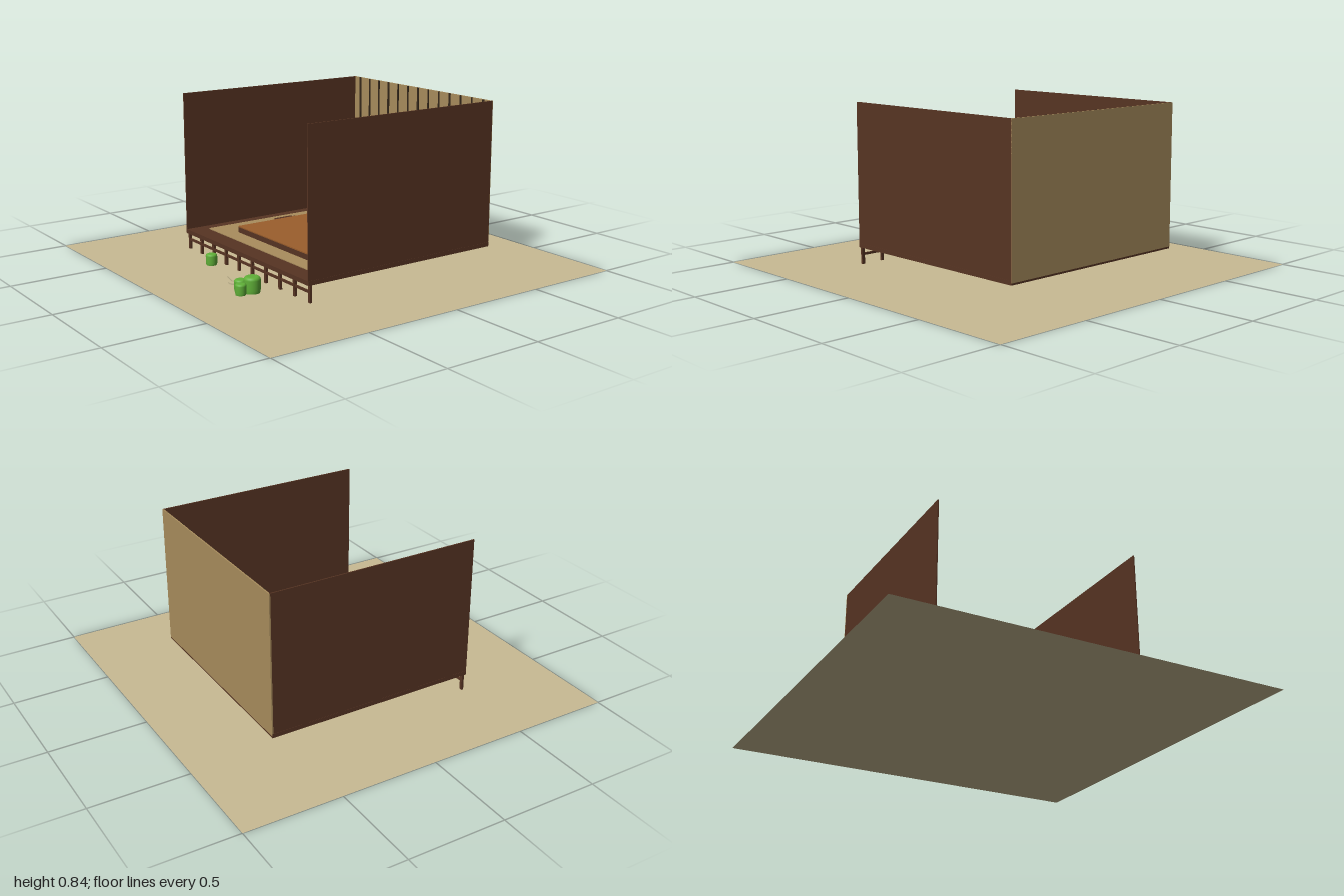
import * as THREE from 'three';

const mat = (name, color, side = THREE.FrontSide) => {
  const m = new THREE.MeshStandardMaterial({ color, side });
  m.name = name;
  return m;
};

export function createModel() {
  const sand = mat('sand', 0xc9bb94, THREE.DoubleSide);
  const tan = mat('tan straw', 0xa98d5d);
  const brown = mat('dark brown wood', 0x573423);
  const slatMat = mat('blackened wood', 0x35281b);
  const orange = mat('orange wood', 0x9b5e2c);
  const red = mat('red lacquer', 0xc4200f);
  const green = mat('leaf green', 0x60b038);

  const model = new THREE.Group();
  model.name = 'shrineRoom';
  const group = (name) => {
    const g = new THREE.Group();
    g.name = name;
    model.add(g);
    return g;
  };
  const add = (parent, name, geometry, material) => {
    const m = new THREE.Mesh(geometry, material);
    m.name = name;
    parent.add(m);
    return m;
  };
  // Box given by its minimum and maximum on each axis
  const box = (parent, name, material, x0, x1, y0, y1, z0, z1) => {
    const m = add(parent, name, new THREE.BoxGeometry(x1 - x0, y1 - y0, z1 - z0), material);
    m.position.set((x0 + x1) / 2, (y0 + y1) / 2, (z0 + z1) / 2);
    return m;
  };
  // Flat shape (x, -z) extruded upwards
  const slab = (parent, name, material, shape, y, height) => {
    const g = new THREE.ExtrudeGeometry(shape, { depth: height, bevelEnabled: false });
    g.rotateX(-Math.PI / 2);
    const m = add(parent, name, g, material);
    m.position.y = y;
    return m;
  };
  const roundedRect = (x0, x1, z0, z1, r) => {
    const s = new THREE.Shape();
    s.absarc(x1 - r, -z0 - r, r, 0, Math.PI / 2);
    s.absarc(x0 + r, -z0 - r, r, Math.PI / 2, Math.PI);
    s.absarc(x0 + r, -z1 + r, r, Math.PI, Math.PI * 1.5);
    s.absarc(x1 - r, -z1 + r, r, Math.PI * 1.5, Math.PI * 2);
    return s;
  };

  // Ground sheet
  add(model, 'ground', new THREE.PlaneGeometry(2, 2).rotateX(-Math.PI / 2), sand);

  // Floor deck with inset mat
  const floor = group('floor');
  box(floor, 'deck', brown, -0.56, 0.56, 0.09, 0.112, -0.61, 0.505);
  slab(floor, 'floorMat', tan, roundedRect(-0.49, 0.49, -0.455, 0.41, 0.006), 0.112, 0.004);

  // Raised alcove along the back
  box(floor, 'alcoveStep', brown, -0.55, 0.55, 0.112, 0.147, -0.6, -0.45);
  slab(floor, 'alcoveMat', tan, roundedRect(-0.51, 0.51, -0.598, -0.453, 0.015), 0.147, 0.003);

  // Porch posts and rail under the front edge
  const porch = group('porch');
  for (let i = 0; i < 10; i++) {
    const x = -0.55 + i * 0.1222;
    box(porch, 'porchPost', brown, x - 0.008, x + 0.008, 0.005, 0.09, 0.483, 0.495);
  }
  box(porch, 'porchRail', brown, -0.555, 0.555, 0.05, 0.062, 0.485, 0.493);

  // Walls
  const walls = group('walls');
  for (const s of [-1, 1]) {
    const w = box(walls, 'sideWall', brown, -0.003, 0.003, 0.1, 0.835, -0.61, 0.505);
    w.position.x = s * 0.556;
  }
  box(walls, 'backWall', tan, -0.559, 0.559, 0.1, 0.835, -0.612, -0.605);

  // Slats and crossbars of the back screen
  for (let i = 0; i < 13; i++) {
    const x = -0.5 + i / 12;
    const h = i % 3 === 0 ? 0.006 : 0.004;
    box(walls, 'screenSlat', slatMat, x - h, x + h, 0.147, 0.835, -0.606, -0.6);
  }
  for (const y of [0.205, 0.24, 0.275]) {
    box(walls, 'screenCrossbar', slatMat, -0.553, 0.553, y - 0.004, y + 0.004, -0.606, -0.598);
  }

  // Low table
  const table = group('table');
  box(table, 'tableBody', brown, -0.33, 0.33, 0.116, 0.144, -0.33, 0.325);
  box(table, 'tableTop', orange, -0.33, 0.33, 0.144, 0.15, -0.33, 0.325);

  // Floor seats at both ends of the table
  for (const s of [-1, 1]) {
    const seat = group('floorSeat');
    const base = box(seat, 'seatBase', brown, -0.02, 0.02, 0.116, 0.139, -0.055, 0.05);
    base.position.x = s * 0.35;
    const back = box(seat, 'seatEdge', brown, -0.019, 0.019, 0.116, 0.133, -0.055, 0.05);
    back.position.x = s * 0.386;
  }

  // Gate: posts, tie beam, strut, curved lintel and roof beam
  const gate = group('gate');
  const zc = -0.418;
  for (const s of [-1, 1]) {
    const post = add(gate, 'gatePost', new THREE.CylinderGeometry(0.018, 0.018, 0.29, 24), red);
    post.position.set(s * 0.264, 0.295, zc);
    const foot = add(gate, 'postFoot', new THREE.CylinderGeometry(0.02, 0.02, 0.07, 24), brown);
    foot.position.set(s * 0.264, 0.115, zc);
    box(gate, 'postWrap', sand, s * 0.264 - 0.028, s * 0.264 + 0.028, 0.192, 0.272, zc - 0.023, zc + 0.023);
  }
  box(gate, 'tieBeam', red, -0.338, 0.338, 0.342, 0.374, zc - 0.013, zc + 0.013);

  const front = (name, material, shape, depth) => {
    const g = new THREE.ExtrudeGeometry(shape, { depth, bevelEnabled: false, curveSegments: 24 });
    add(gate, name, g, material).position.z = zc - depth / 2;
  };
  const strut = new THREE.Shape();
  strut.moveTo(-0.013, 0.37);
  strut.lineTo(0.013, 0.37);
  strut.lineTo(0.025, 0.435);
  strut.lineTo(-0.025, 0.435);
  front('centreStrut', red, strut, 0.022);

  const lintel = new THREE.Shape();
  lintel.moveTo(-0.345, 0.428);
  lintel.lineTo(0.345, 0.428);
  lintel.lineTo(0.375, 0.468);
  lintel.quadraticCurveTo(0, 0.43, -0.375, 0.468);
  front('lintel', red, lintel, 0.034);

  const roof = new THREE.Shape();
  roof.moveTo(-0.405, 0.472);
  roof.quadraticCurveTo(0, 0.42, 0.405, 0.472);
  roof.lineTo(0.443, 0.54);
  roof.quadraticCurveTo(0, 0.43, -0.443, 0.54);
  front('roofBeam', brown, roof, 0.046);

  // Clipped round-topped bushes
  const garden = group('garden');
  for (const [x, z, r, h] of [[-0.245, 0.54, 0.029, 0.058], [0.2, 0.645, 0.03, 0.058],
    [0.253, 0.612, 0.041, 0.08], [0.253, 0.675, 0.027, 0.055]]) {
    const c = r * 0.4;
    const profile = [new THREE.Vector2(r * 0.92, 0), new THREE.Vector2(r, c)];
    for (let i = 0; i <= 6; i++) {
      const a = (i / 6) * Math.PI / 2;
      profile.push(new THREE.Vector2(r - c + c * Math.cos(a), h - c + c * Math.sin(a)));
    }
    profile.push(new THREE.Vector2(0, h));
    add(garden, 'bush', new THREE.LatheGeometry(profile, 24), green).position.set(x, 0, z);
  }

  // Flat stepping stones
  const stone = (points) => {
    const curve = new THREE.CatmullRomCurve3(points.map(([x, z]) => new THREE.Vector3(x, -z, 0)), true);
    const outline = curve.getPoints(40).slice(0, -1).map((p) => new THREE.Vector2(p.x, p.y));
    slab(garden, 'steppingStone', sand, new THREE.Shape(outline), 0, 0.008);
  };
  stone([[-0.042, 0.54], [-0.02, 0.525], [0.05, 0.527], [0.092, 0.545], [0.088, 0.575],
    [0.068, 0.605], [0.03, 0.597], [-0.025, 0.58]]);
  stone([[0.065, 0.625], [0.085, 0.612], [0.11, 0.622], [0.09, 0.637]]);

  return model;
}
